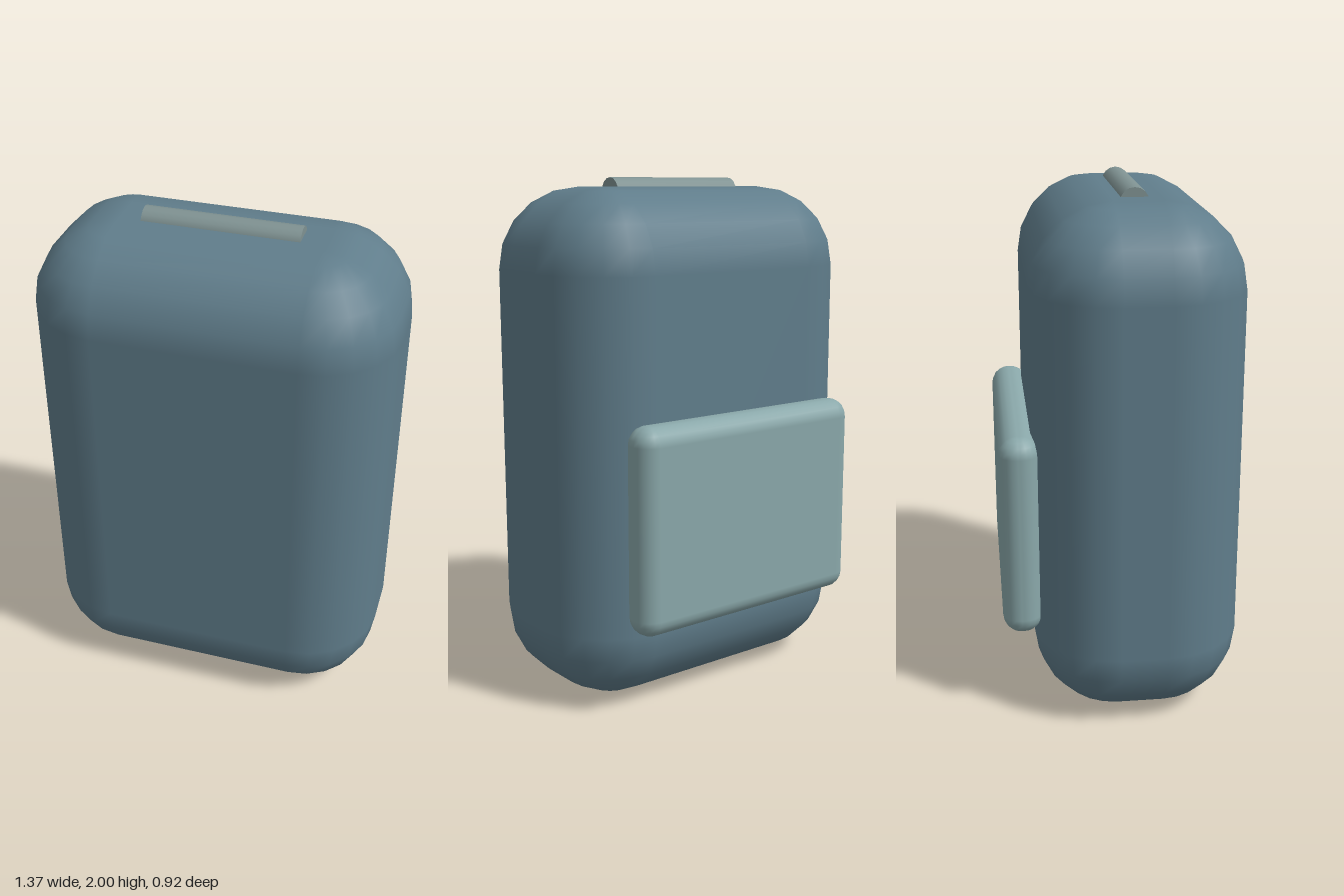
import * as THREE from 'three';

const ARC = 5; // segments per rounded quarter

// Rounded box: a sphere-like grid whose eight octants are pushed apart.
function roundedBox(w, h, d, r) {
  const cols = 4 * (ARC + 1), rows = 2 * ARC + 3;
  const geo = new THREE.PlaneGeometry(1, 1, cols, rows);
  const pos = geo.attributes.position, nor = geo.attributes.normal;
  const cx = w / 2 - r, cy = h / 2 - r, cz = d / 2 - r;
  const step = Math.PI / 2 / ARC;
  for (let j = 0, k = 0; j <= rows; j++) {
    const cap = j === 0 || j === rows;
    const upper = j <= ARC + 1;
    const phi = cap ? (j ? Math.PI : 0) : (upper ? j - 1 : j - 2) * step;
    for (let i = 0; i <= cols; i++, k++) {
      const quarter = Math.floor(i / (ARC + 1)) % 4;
      const a = ((i % cols) - quarter) * step;
      const nx = Math.sin(phi) * Math.sin(a), ny = Math.cos(phi), nz = Math.sin(phi) * Math.cos(a);
      const sx = cap ? 0 : quarter < 2 ? 1 : -1;
      const sz = cap ? 0 : quarter === 0 || quarter === 3 ? 1 : -1;
      pos.setXYZ(k, sx * cx + r * nx, (upper ? cy : -cy) + r * ny, sz * cz + r * nz);
      nor.setXYZ(k, nx, ny, nz);
    }
  }
  return geo;
}

function addPart(group, name, geometry, color, x, y, z) {
  const mesh = new THREE.Mesh(geometry, new THREE.MeshStandardMaterial({ color }));
  mesh.name = name;
  mesh.position.set(x, y, z);
  group.add(mesh);
  return mesh;
}

export function createModel() {
  const group = new THREE.Group();
  group.name = 'backpack';

  // Soft main bag
  addPart(group, 'body', roundedBox(1.374, 1.965, 0.794, 0.31), 0x607d8b, 0, 0.9825, 0.061);

  // Flat pocket on the back
  addPart(group, 'pocket', roundedBox(1.04, 0.79, 0.15, 0.07), 0x8aa8aa, 0, 0.735, -0.383);

  // Carrying bar sunk into the top
  const handle = addPart(group, 'handle', new THREE.CylinderGeometry(0.054, 0.054, 0.586, 16), 0x7f9292, 0, 1.946, 0.061);
  handle.rotation.z = Math.PI / 2;

  return group;
}
